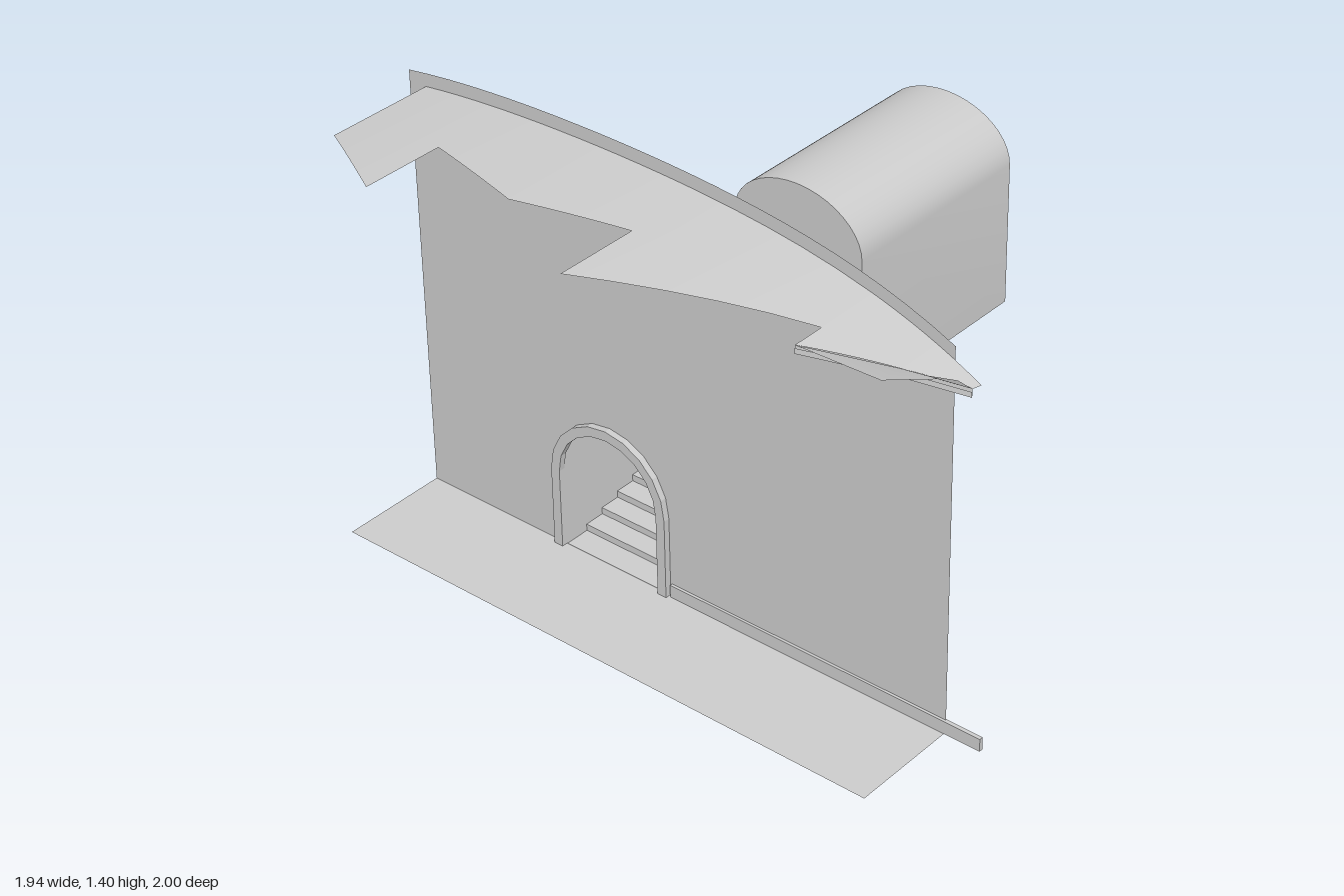
import * as THREE from 'three';
import { toCreasedNormals } from 'three/addons/utils/BufferGeometryUtils.js';

const MAT = new THREE.MeshStandardMaterial({ color: 0xcccccc, side: THREE.DoubleSide });
const CX = -0.29; // axis of the doorway, stairs and chamber
const WALL_Z = 0.49;

// Height of the bowed wall top at x
const topY = (x) => {
  const d = x - CX;
  return 1.405 - 0.08 * d * d - 0.045 * d ** 4;
};

// Surface between two polylines of equal length
function ribbon(a, b) {
  const pos = [...a, ...b].flat();
  const idx = [];
  const n = a.length;
  for (let i = 0; i < n - 1; i++) idx.push(i, n + i, i + 1, n + i, n + i + 1, i + 1);
  const g = new THREE.BufferGeometry();
  g.setAttribute('position', new THREE.Float32BufferAttribute(pos, 3));
  g.setIndex(idx);
  return toCreasedNormals(g, 0.6);
}

// Half-ellipse points [x, y] from the -x side over to the +x side
function arc(rx, ry, spring, n) {
  return Array.from({ length: n + 1 }, (_, i) => {
    const t = Math.PI * (1 - i / n);
    return [CX + rx * Math.cos(t), spring + ry * Math.sin(t)];
  });
}

// Round-headed outline standing on y = base
const archOutline = (rx, ry, spring, base, n) =>
  [[CX - rx, base], ...arc(rx, ry, spring, n), [CX + rx, base]];
const vec2 = (pts) => pts.map(([x, y]) => new THREE.Vector2(x, y));
const atZ = (pts, z) => pts.map(([x, y]) => [x, y, z]);

export function createModel() {
  const model = new THREE.Group();
  const add = (name, geo, parent = model) => {
    const m = new THREE.Mesh(geo, MAT);
    m.name = name;
    parent.add(m);
    return m;
  };
  const group = (name) => {
    const g = new THREE.Group();
    g.name = name;
    model.add(g);
    return g;
  };

  // Front wall with bowed top and doorway
  const outline = [[-0.97, 0.035], [0.855, 0.035]];
  for (let i = 0; i <= 24; i++) {
    const x = 0.855 - (1.825 * i) / 24;
    outline.push([x, topY(x)]);
  }
  const wall = new THREE.Shape(vec2(outline));
  wall.holes.push(new THREE.Path(vec2(archOutline(0.175, 0.175, 0.29, 0.036, 10))));
  add('frontWall', new THREE.ShapeGeometry(wall)).position.z = WALL_Z;

  // Ground strip
  const ground = new THREE.PlaneGeometry(1.825, 0.34).rotateX(-Math.PI / 2);
  add('ground', ground).position.set(-0.0575, 0.035, 0.66);

  // Kerb along the foot of the wall
  add('kerb', new THREE.BoxGeometry(1.05, 0.04, 0.012)).position.set(0.445, 0.055, 0.492);

  // Door surround
  const frame = new THREE.Shape(vec2([
    ...archOutline(0.205, 0.205, 0.29, 0.037, 10),
    ...archOutline(0.175, 0.175, 0.29, 0.037, 10).reverse(),
  ]));
  add('doorSurround', new THREE.ExtrudeGeometry(frame, { depth: 0.02, bevelEnabled: false }))
    .position.z = WALL_Z;

  // Jagged canopy that follows the bow of the wall
  const edge = [[-0.91, 0.83], [-0.62, 1], [-0.62, 0.74], [-0.29, 0.83], [0.04, 0.74],
    [0.04, 1], [0.6, 0.69], [0.6, 0.79], [0.8, 0.63], [0.93, 0.52], [0.935, WALL_Z]];
  const canopy = group('canopy');
  const roofY = (x) => topY(x) - 0.04;
  for (let i = 0; i < edge.length - 1; i++) {
    const [x0, z0] = edge[i], [x1, z1] = edge[i + 1];
    if (x0 === x1) continue;
    const back = [], front = [];
    for (let k = 0; k <= 5; k++) {
      const x = x0 + ((x1 - x0) * k) / 5;
      back.push([x, roofY(x), WALL_Z]);
      front.push([x, roofY(x), z0 + ((z1 - z0) * k) / 5]);
    }
    add('canopyPanel', ribbon(back, front), canopy);
  }

  // Upturned flap and its edge strip at the low end of the canopy
  const hinge = edge.slice(7, 10).map(([x, z]) => [x, roofY(x), z]);
  const flap = [hinge[0], [0.86, 1.28, 0.79], [0.91, 1.22, 0.625], [0.87, 1.22, 0.635],
    [0.915, 1.185, 0.56], hinge[2]];
  const inner = [hinge[0], hinge[0], hinge[1], hinge[1], hinge[2], hinge[2]];
  add('canopyFlap', ribbon(inner, flap), canopy);
  const low = hinge.map(([x, y, z]) => [x, y - 0.016, z]);
  const out = low.map(([x, y, z]) => [x + 0.008, y, z + 0.012]);
  const outTop = hinge.map(([x, y, z]) => [x + 0.008, y, z + 0.012]);
  add('edgeStripBack', ribbon(hinge, low), canopy);
  add('edgeStripBase', ribbon(low, out), canopy);
  add('edgeStripFront', ribbon(out, outTop), canopy);

  // Stair passage: stepped vault over seven bays
  const passage = group('stairPassage');
  const BAYS = 7, END_Z = -0.31;
  const bayZ = (i) => WALL_Z + ((END_Z - WALL_Z) * i) / BAYS;
  const spring = (i) => 0.36 + 0.0333 * i;
  const vault = (i) => arc(0.175, 0.132, spring(i), 12);
  for (let i = 0; i < BAYS; i++) {
    add('vaultBay', ribbon(atZ(vault(i), bayZ(i)), atZ(vault(i), bayZ(i + 1))), passage);
    if (i < BAYS - 1) {
      add('vaultStep', ribbon(atZ(vault(i), bayZ(i + 1)), atZ(vault(i + 1), bayZ(i + 1))), passage);
    }
  }

  // Side walls with stepped top and sloping foot, drawn in (z, y)
  const side = [[WALL_Z, 0], [0.39, 0], [END_Z, 0.195]];
  for (let i = BAYS - 1; i >= 0; i--) side.push([bayZ(i + 1), spring(i)], [bayZ(i), spring(i)]);
  const sideGeo = new THREE.ShapeGeometry(new THREE.Shape(vec2(side.map(([z, y]) => [-z, y]))));
  sideGeo.rotateY(Math.PI / 2);
  for (const s of [-1, 1]) add('passageWall', sideGeo, passage).position.x = CX + s * 0.175;

  // Stairs as a folded sheet
  const STEPS = 11, rise = 0.23 / STEPS, run = 0.72 / STEPS;
  const steps = [[0.035, WALL_Z]];
  for (let i = 0; i < STEPS; i++) {
    const z = 0.41 - run * i;
    steps.push([0.035 + rise * i, z], [0.035 + rise * (i + 1), z]);
  }
  steps.push([0.265, END_Z]);
  const stepLine = (x) => steps.map(([y, z]) => [x, y, z]);
  add('stairs', ribbon(stepLine(CX - 0.18), stepLine(CX + 0.18)), passage);

  // Vaulted chamber, open at the back
  const chamber = group('chamber');
  const hall = archOutline(0.23, 0.165, 0.73, 0.265, 20);
  add('chamberShell', ribbon(atZ(hall, -1), atZ(hall, END_Z)), chamber);
  const floor = new THREE.PlaneGeometry(0.46, 0.69).rotateX(-Math.PI / 2);
  add('chamberFloor', floor, chamber).position.set(CX, 0.265, -0.655);
  const endWall = new THREE.Shape(vec2(hall));
  endWall.holes.push(new THREE.Path(vec2(archOutline(0.175, 0.132, spring(6), 0.266, 12))));
  add('chamberEndWall', new THREE.ShapeGeometry(endWall), chamber).position.z = END_Z;

  // Slim rib inside the chamber
  const rib = new THREE.Shape(vec2([
    ...archOutline(0.229, 0.164, 0.73, 0.29, 20),
    ...archOutline(0.221, 0.156, 0.73, 0.29, 20).reverse(),
  ]));
  add('chamberRib', new THREE.ExtrudeGeometry(rib, { depth: 0.012, bevelEnabled: false }), chamber)
    .position.z = -0.81;

  return model;
}
